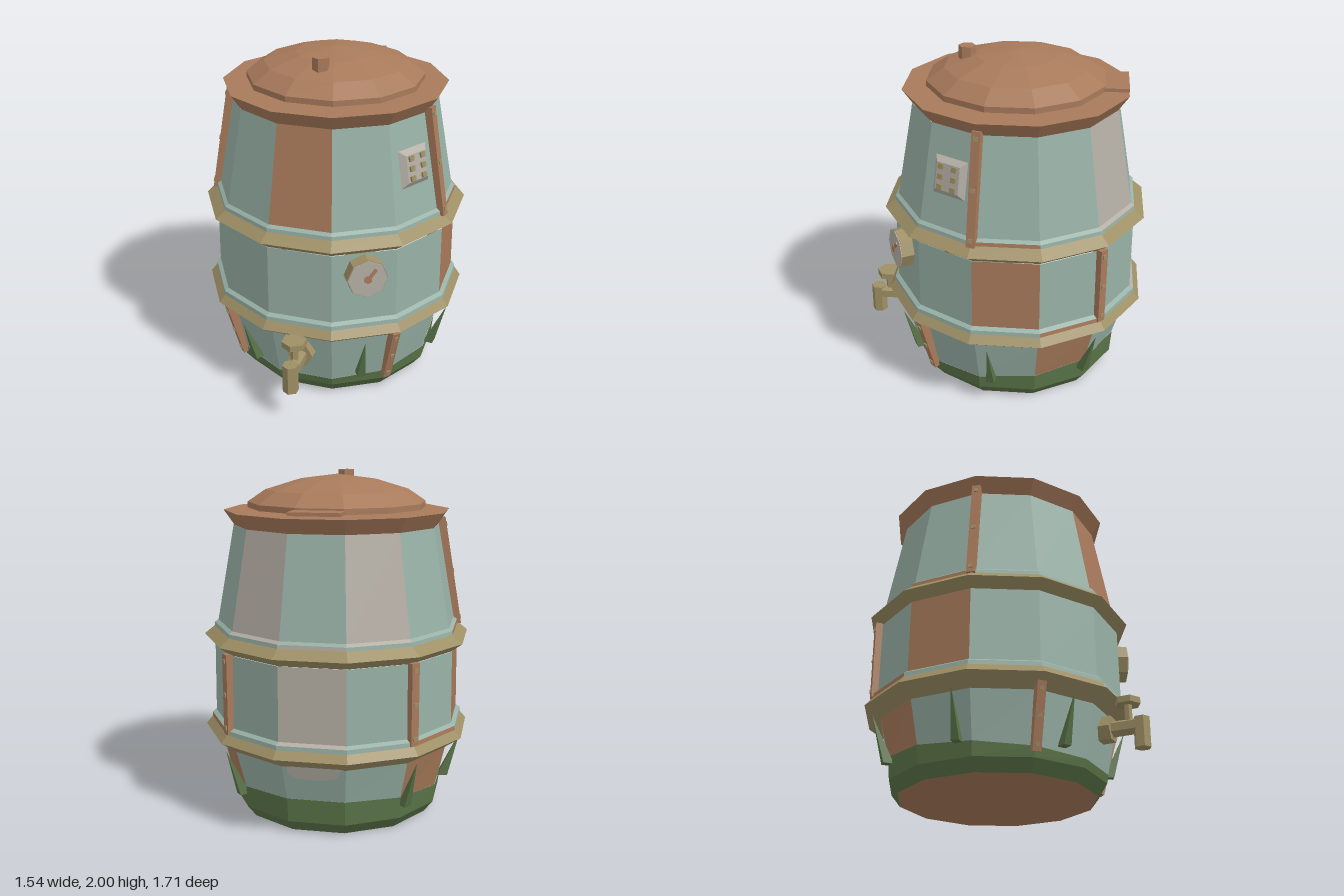
import * as THREE from 'three';

const mat = (name, color) => Object.assign(new THREE.MeshStandardMaterial({ color, flatShading: true }), { name });
const teal = mat('paleTeal', 0x98b1a6), copper = mat('copper', 0xa87a5b), brass = mat('brass', 0x9e8f65);
const gray = mat('warmGray', 0xb4aea4), green = mat('mossGreen', 0x5a7448);
const RAD = Math.PI / 180, SIDES = 12;

// Twelve-sided band through [y, apothem] points; colourOf(face, segment) picks each panel's material
function band(name, profile, colourOf) {
  const group = new THREE.Group(), lists = new Map();
  group.name = name;
  const corner = ([y, apothem], k) => {
    const a = (k - 0.5) * 30 * RAD, r = apothem / Math.cos(15 * RAD);
    const x = r * Math.sin(a), z = r * Math.cos(a);
    return [x, typeof y === 'function' ? y(z) : y, z];
  };
  for (let s = 0; s < profile.length - 1; s++) {
    for (let k = 0; k < SIDES; k++) {
      const m = colourOf(k, s);
      if (!lists.has(m)) lists.set(m, []);
      const a = corner(profile[s], k), b = corner(profile[s], k + 1);
      const c = corner(profile[s + 1], k + 1), d = corner(profile[s + 1], k);
      if (profile[s][1] > 0) lists.get(m).push(...a, ...b, ...c);
      if (profile[s + 1][1] > 0) lists.get(m).push(...a, ...c, ...d);
    }
  }
  for (const [m, list] of lists) {
    const g = new THREE.BufferGeometry();
    g.setAttribute('position', new THREE.Float32BufferAttribute(list, 3));
    g.computeVertexNormals();
    part(group, name + 'Panels', g, m);
  }
  return group;
}

function part(parent, name, geometry, material, x = 0, y = 0, z = 0) {
  const mesh = new THREE.Mesh(geometry, material);
  mesh.name = name;
  mesh.position.set(x, y, z);
  parent.add(mesh);
  return mesh;
}

// Group on the barrel wall: local z points outwards, lean tips its top outwards
function mount(parent, name, deg, dist, y, lean = 0) {
  const g = new THREE.Group();
  g.name = name;
  g.rotation.order = 'YXZ';
  g.rotation.set(lean, deg * RAD, 0);
  g.position.set(dist * Math.sin(deg * RAD), y, dist * Math.cos(deg * RAD));
  parent.add(g);
  return g;
}

const box = (w, h, d) => new THREE.BoxGeometry(w, h, d);
const prism = (r0, r1, h, n) => new THREE.CylinderGeometry(r0, r1, h, n);

// Riveted strap running up a corner of the barrel
function strap(parent, name, deg, y0, r0, y1, r1) {
  const len = Math.hypot(y1 - y0, r1 - r0);
  const g = mount(parent, name, deg, (r0 + r1) / 2, (y0 + y1) / 2, Math.atan2(r1 - r0, y1 - y0));
  part(g, 'strapBar', box(0.05, len, 0.05), copper);
  for (const t of [-1, 0, 1]) part(g, 'rivet', box(0.024, 0.024, 0.01), brass, 0, t * (len / 2 - 0.04), 0.026);
}

export function createModel() {
  const model = new THREE.Group();
  model.name = 'barrelTank';
  const barrel = new THREE.Group();
  barrel.name = 'barrel';
  barrel.position.z = -0.083;
  model.add(barrel);

  // Wall panels, some replaced in copper or gray (face 0 is the front, 3 the left)
  const pick = (swaps) => (k) => swaps[k] || teal;
  const upper = pick({ 0: copper, 5: gray, 7: gray });
  const middle = pick({ 3: copper, 6: gray, 9: copper });
  const lower = pick({ 4: copper, 8: copper });
  const lip = (above, below) => (k, s) => s === 0 ? below(k) : above(k) === gray ? gray : teal;
  const mossLine = (z) => 0.165 - 0.075 * z;
  barrel.add(
    band('mossBase', [[0, 0.56], [0.07, 0.612], [mossLine, 0.622]], () => green),
    band('bottom', [[0, 0], [0, 0.56]], () => copper),
    band('lowerWall', [[mossLine, 0.62], [0.43, 0.68]], lower),
    band('lowerHoop', [[0.42, 0.675], [0.49, 0.77], [0.54, 0.73]], () => brass),
    band('middleLip', [[0.535, 0.735], [0.56, 0.733], [0.575, 0.71]], lip(middle, lower)),
    band('middleWall', [[0.575, 0.71], [1.0, 0.706]], middle),
    band('upperHoop', [[1.0, 0.70], [1.05, 0.765], [1.1, 0.705]], () => brass),
    band('upperLip', [[1.095, 0.708], [1.12, 0.705], [1.135, 0.685]], lip(upper, middle)),
    band('upperWall', [[1.135, 0.685], [1.7, 0.585]], upper),
    band('topRim', [[1.695, 0.58], [1.785, 0.64], [1.785, 0]], () => copper),
    band('lid', [[1.797, 0], [1.797, 0.505], [1.83, 0.505], [1.9, 0.405], [1.957, 0.225], [1.988, 0]], () => copper),
  );

  // Lid hinge and knob
  part(barrel, 'hingePlate', box(0.29, 0.02, 0.16), copper, 0, 1.81, -0.56);
  part(barrel, 'lidKnob', prism(0.05, 0.05, 0.1, 6), copper, 0, 1.95, 0.285);

  // Straps and leaf spikes, mirrored on both sides
  for (const s of [-1, 1]) {
    strap(barrel, 'upperStrap', s * 75, 1.09, 0.725, 1.73, 0.615);
    strap(barrel, 'middleStrap', s * 135, 0.54, 0.74, 1.01, 0.74);
    strap(barrel, 'lowerStrap', s * 45, 0.1, 0.637, 0.46, 0.735);
    for (const deg of [30, 82, 133]) {
      const spike = mount(barrel, 'leafSpike', s * deg, 0.65, 0.15);
      const cone = new THREE.ConeGeometry(0.034, 0.28, 4, 1).rotateY(Math.PI / 4).toNonIndexed();
      const p = cone.attributes.position;
      for (let i = 0; i < p.count; i++) p.setZ(i, p.getZ(i) * 1.25 + (p.getY(i) > 0 ? 0.105 : 0));
      cone.translate(0, 0.14, 0).computeVertexNormals();
      part(spike, 'leaf', cone, green);
    }
  }

  // Pressure gauge
  const gauge = mount(barrel, 'gauge', 30, 0.70, 0.875);
  part(gauge, 'gaugeCase', prism(0.118, 0.122, 0.16, 8).rotateX(Math.PI / 2), brass);
  part(gauge, 'gaugeFace', prism(0.114, 0.114, 0.006, 8).rotateX(Math.PI / 2), gray, 0, 0, 0.082);
  part(gauge, 'gaugeHub', prism(0.024, 0.024, 0.015, 6).rotateX(Math.PI / 2), copper, 0, 0, 0.09);
  part(gauge, 'gaugeNeedle', box(0.018, 0.075, 0.008).translate(0, 0.038, 0), copper, 0, 0, 0.091).rotation.z = -38 * RAD;

  // Bevelled control plate with six buttons
  const plate = mount(barrel, 'controlPlate', 60, 0.632, 1.43, -0.176);
  const bevel = prism(0.078 * Math.SQRT2, 0.11 * Math.SQRT2, 0.03, 4).rotateY(Math.PI / 4).rotateX(Math.PI / 2);
  part(plate, 'plateBody', bevel, gray, 0, 0, 0.015);
  for (const x of [-0.045, 0.045]) {
    for (const y of [-0.058, 0, 0.058]) part(plate, 'button', box(0.034, 0.03, 0.016), brass, x, y, 0.034);
  }

  // Gray repair patch under the lower hoop at the back
  const patch = mount(barrel, 'repairPatch', 180, 0.682, 0.43, Math.atan2(0.06, 0.22));
  const outline = new THREE.Shape([[-0.15, 0], [-0.15, -0.05], [-0.1, -0.08], [0.04, -0.085], [0.13, -0.06], [0.16, 0]]
    .map(([x, y]) => new THREE.Vector2(x, y)));
  part(patch, 'patchPlate', new THREE.ExtrudeGeometry(outline, { depth: 0.005, bevelEnabled: false }), gray);

  // Tap: collar, bent pipe, valve stem and handle
  const tap = new THREE.Group();
  tap.name = 'tap';
  model.add(tap);
  part(tap, 'tapCollar', prism(0.078, 0.078, 0.14, 6).rotateY(Math.PI / 6).rotateX(Math.PI / 2), brass, 0, 0.325, 0.57);
  part(tap, 'tapPipe', prism(0.047, 0.047, 0.28, 6).rotateX(Math.PI / 2), brass, 0, 0.322, 0.67);
  part(tap, 'tapSpout', prism(0.047, 0.047, 0.176, 6), brass, 0, 0.278, 0.806);
  part(tap, 'valveStem', prism(0.023, 0.023, 0.1, 6), brass, 0, 0.405, 0.732);
  part(tap, 'valveHandle', prism(0.074, 0.074, 0.036, 6), brass, 0, 0.468, 0.732);
  return model;
}
